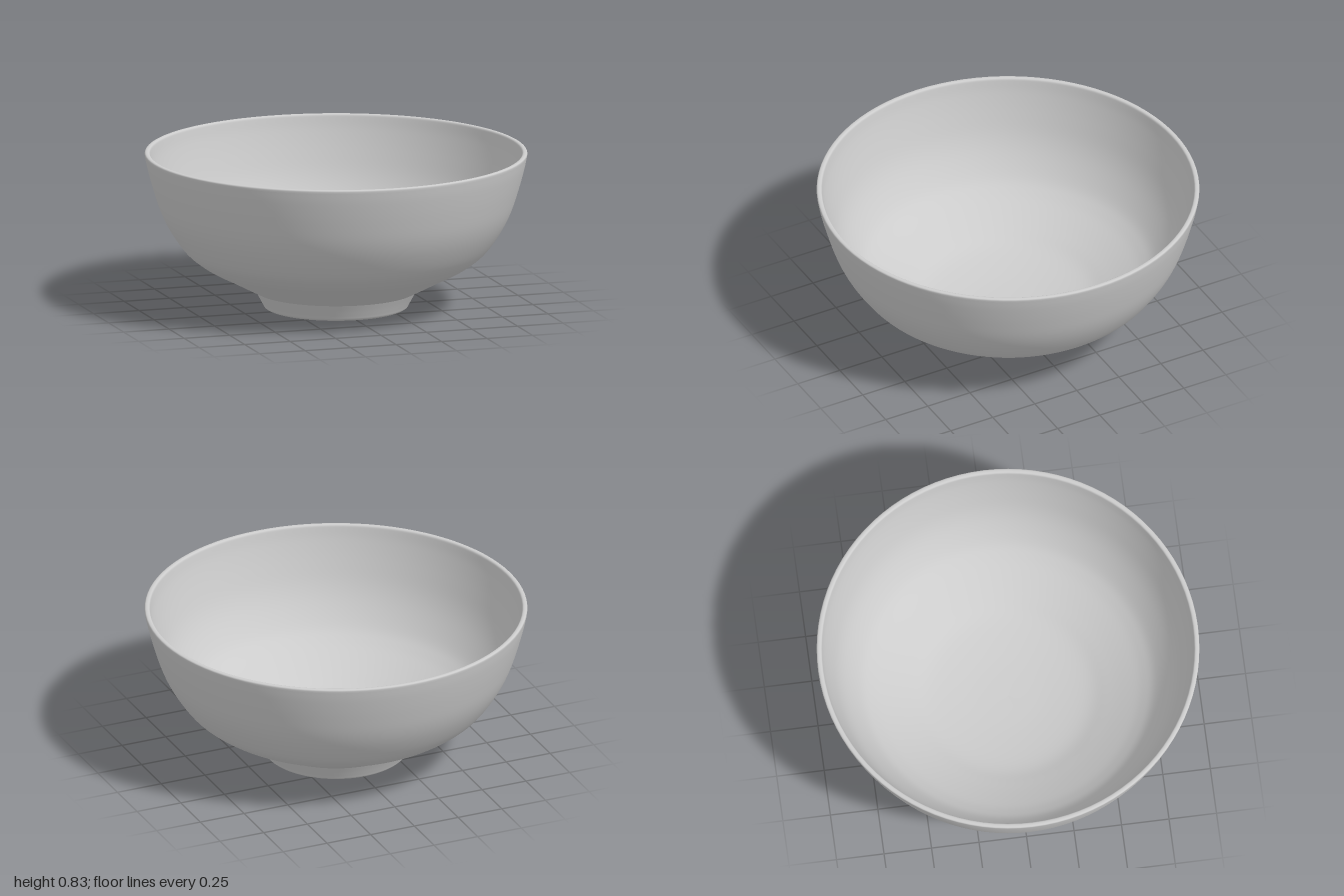
import * as THREE from 'three';

const SEGMENTS = 96;
const material = new THREE.MeshStandardMaterial({ color: 0xcccccc });

// Smooth a list of [radius, height] points into a lathe profile
function smooth(points, divisions) {
  const curve = new THREE.SplineCurve(points.map(([r, y]) => new THREE.Vector2(r, y)));
  return curve.getPoints(divisions).map((p) => new THREE.Vector2(Math.max(p.x, 0), p.y));
}

function turned(name, profile) {
  const mesh = new THREE.Mesh(new THREE.LatheGeometry(profile, SEGMENTS), material);
  mesh.name = name;
  return mesh;
}

export function createModel() {
  const bowl = new THREE.Group();
  bowl.name = 'bowl';

  // Flat underside of the foot
  bowl.add(turned('footBase', [new THREE.Vector2(0, 0), new THREE.Vector2(0.36, 0.004)]));

  // Short flared foot with a softened lower edge
  bowl.add(turned('foot', smooth([
    [0.36, 0.004], [0.375, 0.012], [0.385, 0.03], [0.402, 0.062], [0.42, 0.094],
  ], 16)));

  // Outer wall, shallow near the foot and steep near the rim
  bowl.add(turned('outerWall', smooth([
    [0.42, 0.094], [0.5, 0.135], [0.58, 0.177], [0.66, 0.217], [0.73, 0.262], [0.795, 0.32],
    [0.865, 0.42], [0.915, 0.52], [0.955, 0.64], [0.985, 0.75], [0.998, 0.812],
  ], 48)));

  // Thin rounded lip
  bowl.add(turned('rim', smooth([
    [0.998, 0.812], [0.999, 0.824], [0.993, 0.83], [0.98, 0.83], [0.973, 0.824], [0.97, 0.812],
  ], 16)));

  // Inner surface, following the wall down to a gently dished floor
  bowl.add(turned('interior', smooth([
    [0.97, 0.812], [0.957, 0.75], [0.927, 0.645], [0.887, 0.53], [0.838, 0.435], [0.77, 0.34],
    [0.71, 0.288], [0.64, 0.245], [0.52, 0.185], [0.4, 0.138], [0.2, 0.108], [0, 0.1],
  ], 56)));

  return bowl;
}
